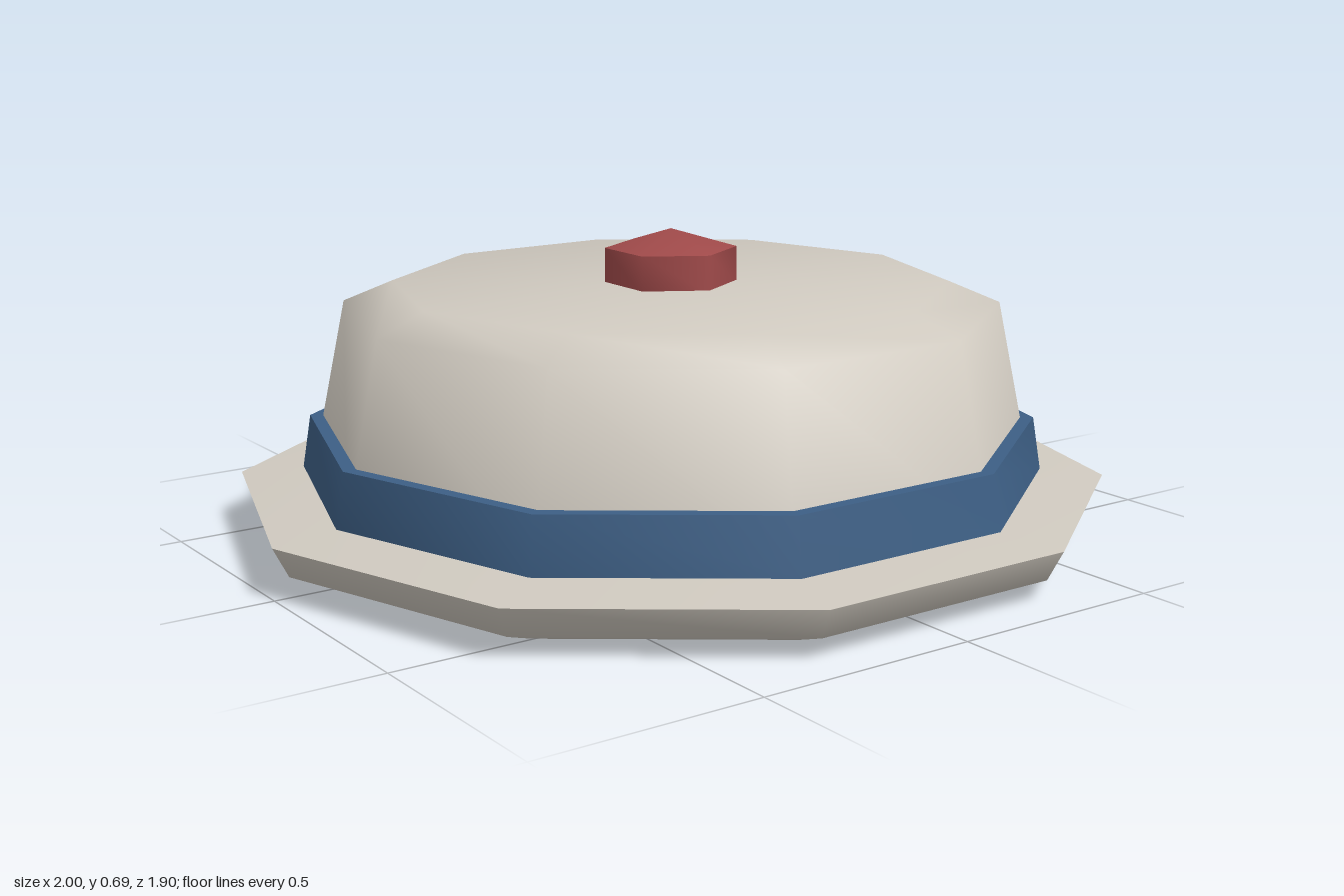
import * as THREE from 'three';
import { toCreasedNormals } from 'three/addons/utils/BufferGeometryUtils.js';

// Faceted turned part: profile of [radius, height] from bottom to top
function turned(name, profile, sides, color, turn = 0) {
  const points = profile.map(([r, y]) => new THREE.Vector2(r, y));
  const lathe = new THREE.LatheGeometry(points, sides).rotateY(turn);
  const geometry = toCreasedNormals(lathe, THREE.MathUtils.degToRad(65));
  const mesh = new THREE.Mesh(geometry, new THREE.MeshStandardMaterial({ color }));
  mesh.name = name;
  return mesh;
}

export function createModel() {
  const group = new THREE.Group();
  group.name = 'coveredDish';
  const cream = 0xd0cac0, blue = 0x3d5f85, red = 0xa04a4a;
  const quarter = Math.PI / 2; // puts a corner of the decagon on the x axis

  group.add(
    // Flared plate with a slightly raised top
    turned('plate', [[0, 0], [0.845, 0], [0.965, 0.045], [1, 0.113], [0.7, 0.135], [0, 0.135]], 10, cream, quarter),
    // Tapered cover with a bevelled shoulder
    turned('cover', [[0.83, 0.13], [0.748, 0.52], [0.635, 0.567], [0, 0.567]], 10, cream, quarter),
    // Band around the foot of the cover
    turned('band', [[0.8, 0.128], [0.855, 0.128], [0.835, 0.25], [0.79, 0.25]], 10, blue, quarter),
    // Six-sided knob with a shallow point
    turned('knob', [[0, 0.56], [0.15, 0.56], [0.15, 0.645], [0, 0.688]], 6, red)
  );
  return group;
}
